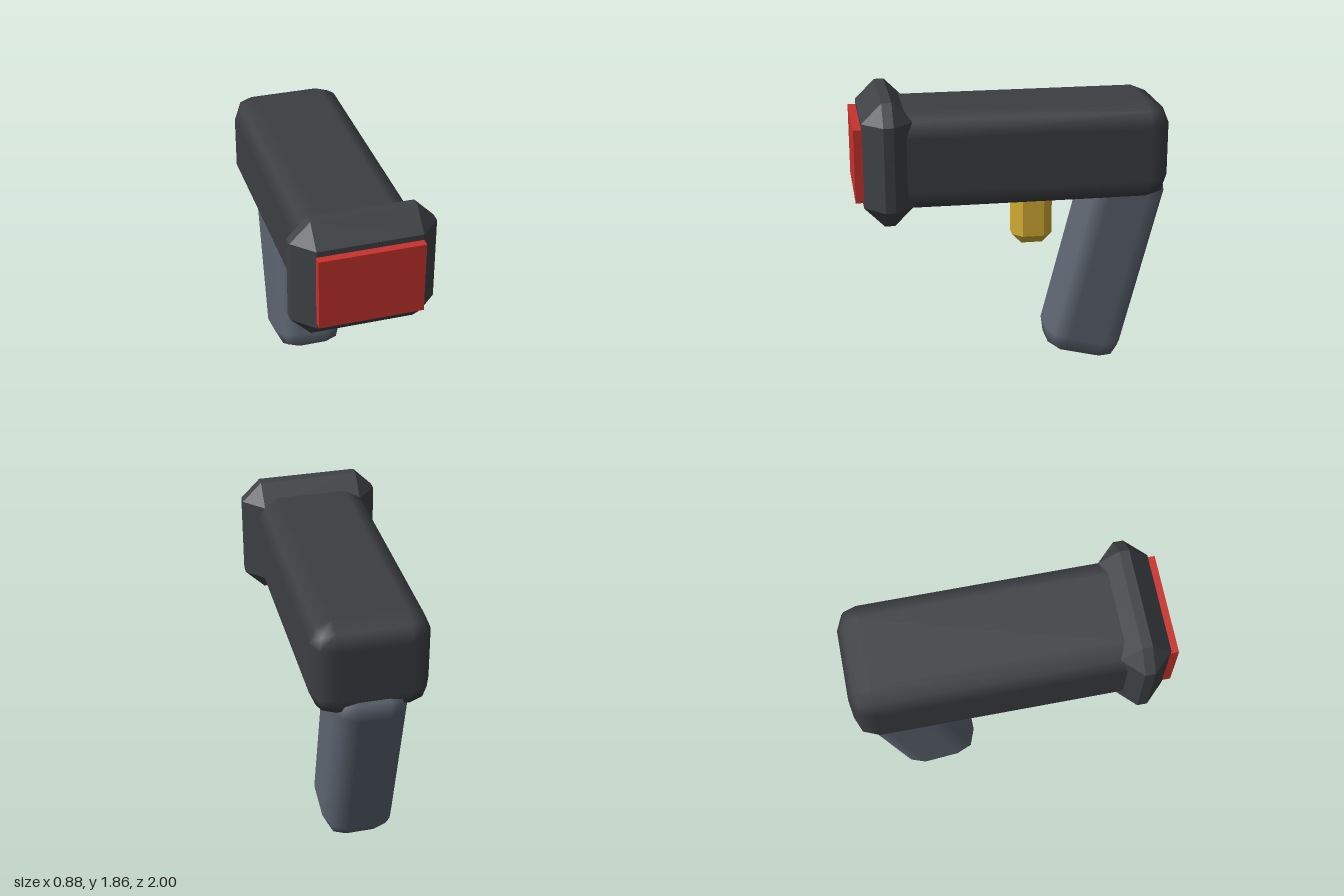
import * as THREE from 'three';
import { RoundedBoxGeometry } from 'three/addons/geometries/RoundedBoxGeometry.js';
import { ConvexGeometry } from 'three/addons/geometries/ConvexGeometry.js';

// Box whose edges and corners are cut by flat chamfers of size c.
function chamferedBox(w, h, d, c) {
  const half = [w / 2, h / 2, d / 2];
  const points = [];
  for (const sx of [-1, 1]) for (const sy of [-1, 1]) for (const sz of [-1, 1]) {
    for (let axis = 0; axis < 3; axis++) {
      const [x, y, z] = half.map((v, i) => (i === axis ? v : v - c));
      points.push(new THREE.Vector3(sx * x, sy * y, sz * z));
    }
  }
  return new ConvexGeometry(points);
}

export function createModel() {
  const model = new THREE.Group();
  model.name = 'scanner';

  const add = (name, geometry, color, x, y, z) => {
    const mesh = new THREE.Mesh(geometry, new THREE.MeshStandardMaterial({ color }));
    mesh.name = name;
    mesh.position.set(x, y, z);
    model.add(mesh);
    return mesh;
  };

  // Long barrel with softly rounded edges, its front end sunk into the head
  add('body', new RoundedBoxGeometry(0.724, 0.62, 1.8, 1, 0.14), 0x3c3e42, 0, 1.47, -0.08);

  // Flared chamfered head and its red window
  add('head', chamferedBox(0.884, 0.78, 0.31, 0.124), 0x3e4245, 0, 1.47, 0.795);
  add('window', new THREE.BoxGeometry(0.64, 0.46, 0.12), 0xc8322d, 0, 1.47, 0.94);

  // Handle leaning back towards its top
  const grip = add('grip', new RoundedBoxGeometry(0.464, 1.36, 0.52, 1, 0.14), 0x5c6470, 0, 0.69, -0.616);
  grip.rotation.x = -0.25;

  // Trigger hanging under the body
  add('trigger', chamferedBox(0.206, 0.36, 0.26, 0.061), 0xd6ae35, 0, 1.0, -0.143);

  return model;
}
